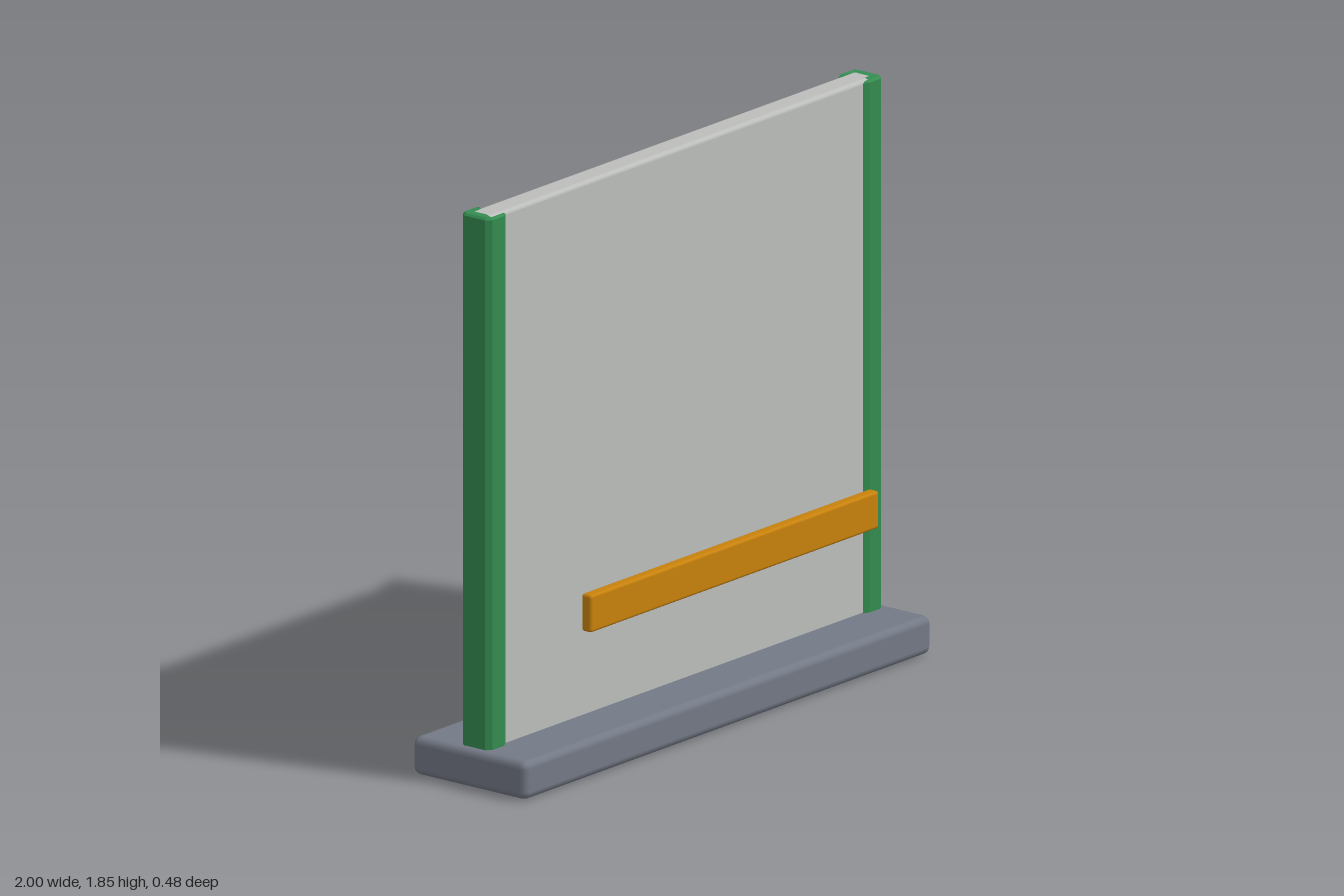
import * as THREE from 'three';
import { RoundedBoxGeometry } from 'three/addons/geometries/RoundedBoxGeometry.js';

const makeMaterial = (name, color) => {
  const m = new THREE.MeshStandardMaterial({ color });
  m.name = name;
  return m;
};

// Box with softened edges, given by its lower and upper corners
function softBox(name, min, max, radius, material) {
  const size = max.map((v, i) => v - min[i]);
  const mesh = new THREE.Mesh(new RoundedBoxGeometry(...size, 2, radius), material);
  mesh.position.set(...max.map((v, i) => (v + min[i]) / 2));
  mesh.name = name;
  return mesh;
}

export function createModel() {
  const slate = makeMaterial('slate grey', 0x737986);
  const green = makeMaterial('green', 0x348c50);
  const pale = makeMaterial('pale grey', 0xbcbebb);
  const orange = makeMaterial('orange', 0xc8820c);

  const model = new THREE.Group();
  model.name = 'framedPanel';
  const midZ = -0.0125;
  const top = 1.853;

  // Base plinth, panel running down through it, and the separate front bar
  model.add(
    softBox('base', [-1, 0.003, -0.24], [1, 0.127, 0.215], 0.025, slate),
    softBox('panel', [-0.95, 0, midZ - 0.043], [0.95, top, midZ + 0.043], 0.015, pale),
    softBox('frontBar', [-0.708, 0.484, 0.2], [0.708, 0.606, 0.24], 0.01, orange)
  );

  // U-shaped channel posts gripping both panel edges, opening inwards
  const bevel = 0.007;
  const outer = 0.059 - bevel; // half depth before the bevel grows it
  const inner = 0.043 + bevel;
  const cut = 0.012;
  const tip = -0.0445 + bevel, back = 0.0445 - bevel, web = 0.0265 + bevel;
  const profile = new THREE.Shape([
    [tip + cut, -outer], [back - cut, -outer], [back, -outer + cut],
    [back, outer - cut], [back - cut, outer], [tip + cut, outer],
    [tip, inner], [web, inner], [web, -inner], [tip, -inner]
  ].map(([x, y]) => new THREE.Vector2(x, y)));
  const bottom = 0.02;
  const channel = new THREE.ExtrudeGeometry(profile, {
    depth: top - bottom - 2 * bevel, bevelEnabled: true,
    bevelSize: bevel, bevelThickness: bevel, bevelSegments: 1
  });
  channel.rotateX(-Math.PI / 2).translate(0, bottom + bevel, 0);
  for (const [name, side] of [['leftPost', 1], ['rightPost', -1]]) {
    const post = new THREE.Mesh(channel, green);
    post.name = name;
    post.position.set(side * 0.9255, 0, midZ);
    if (side < 0) post.rotation.y = Math.PI;
    model.add(post);
  }
  return model;
}
